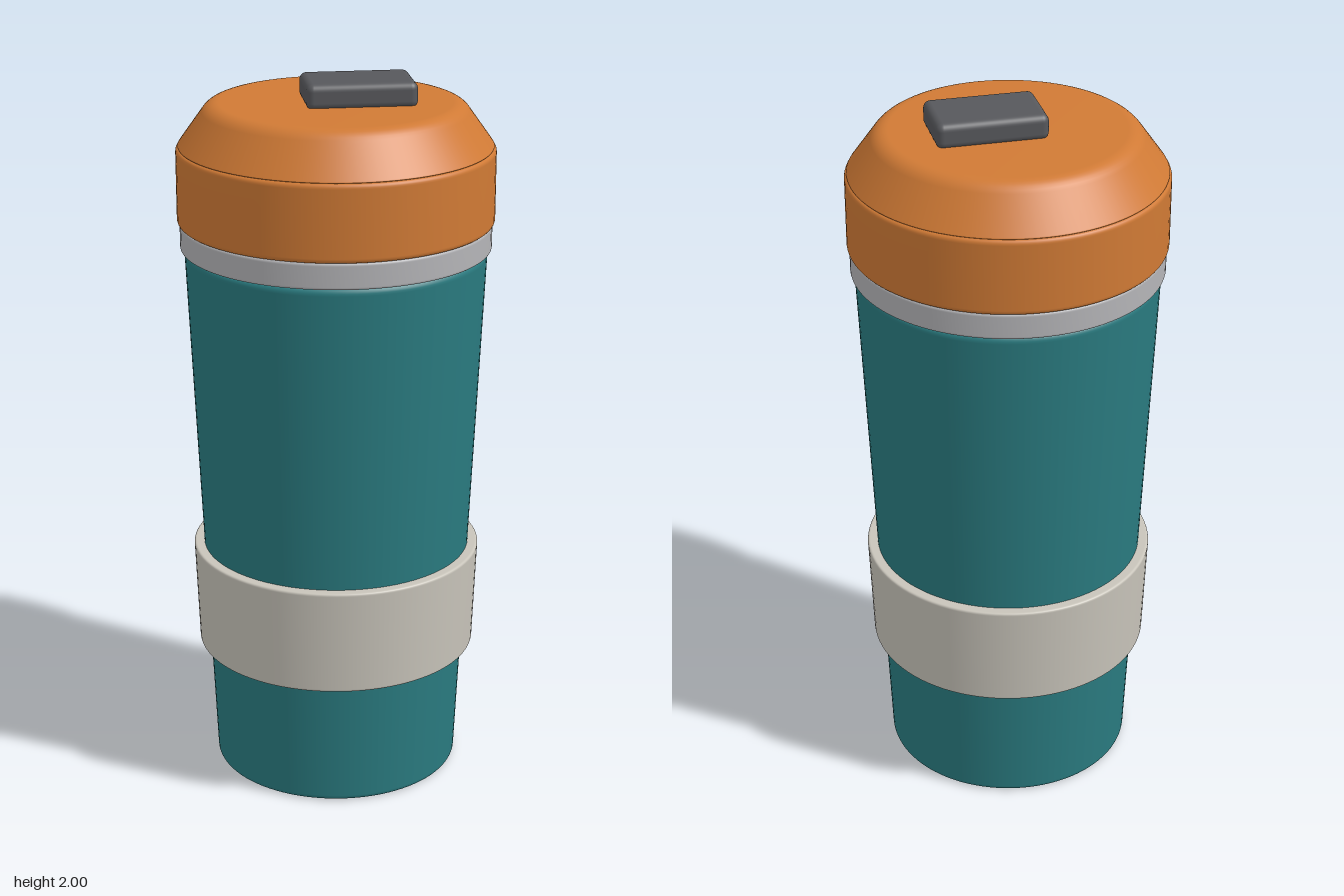
import * as THREE from 'three';
import { RoundedBoxGeometry } from 'three/addons/geometries/RoundedBoxGeometry.js';

const SEGMENTS = 96;

// Turns corners [radius, height, fillet] into a smooth profile, listed from bottom to top.
function filletProfile(corners) {
  const points = [];
  corners.forEach(([x, y, fillet = 0], i) => {
    const p = new THREE.Vector2(x, y);
    if (!fillet || i === 0 || i === corners.length - 1) {
      points.push(p);
      return;
    }
    const toward = ([nx, ny]) => new THREE.Vector2(nx, ny).sub(p).setLength(fillet).add(p);
    const curve = new THREE.QuadraticBezierCurve(toward(corners[i - 1]), p, toward(corners[i + 1]));
    points.push(...curve.getPoints(6));
  });
  return points;
}

export function createModel() {
  const model = new THREE.Group();

  const add = (name, geometry, color) => {
    const mesh = new THREE.Mesh(geometry, new THREE.MeshStandardMaterial({ color }));
    mesh.name = name;
    model.add(mesh);
    return mesh;
  };
  const turned = (name, color, corners) =>
    add(name, new THREE.LatheGeometry(filletProfile(corners), SEGMENTS), color);

  // Tapered cup with softened rims
  turned('body', 0x2a7b80, [
    [0, 0], [0.347, 0, 0.015], [0.416, 1.535, 0.02], [0, 1.535],
  ]);

  // Grip sleeve around the lower body
  turned('sleeve', 0xc8c4ba, [
    [0.34, 0.365], [0.394, 0.365, 0.008], [0.406, 0.667, 0.008], [0.35, 0.667],
  ]);

  // Metal collar below the lid
  turned('collar', 0xb4b4b7, [
    [0, 1.535], [0.427, 1.535, 0.008], [0.427, 1.607, 0.008], [0, 1.607],
  ]);

  // Straight lid wall
  turned('lidBase', 0xd07a35, [
    [0, 1.607], [0.434, 1.607, 0.014], [0.434, 1.818, 0.014], [0, 1.818],
  ]);

  // Sloping lid top
  turned('lidTop', 0xd07a35, [
    [0, 1.818], [0.43, 1.818, 0.006], [0.345, 1.937, 0.03], [0, 1.937],
  ]);

  // Off-centre sliding tab
  const tab = add('drinkTab', new RoundedBoxGeometry(0.3, 0.07, 0.19, 4, 0.02), 0x57585c);
  tab.position.set(0.06, 1.965, 0);

  return model;
}
